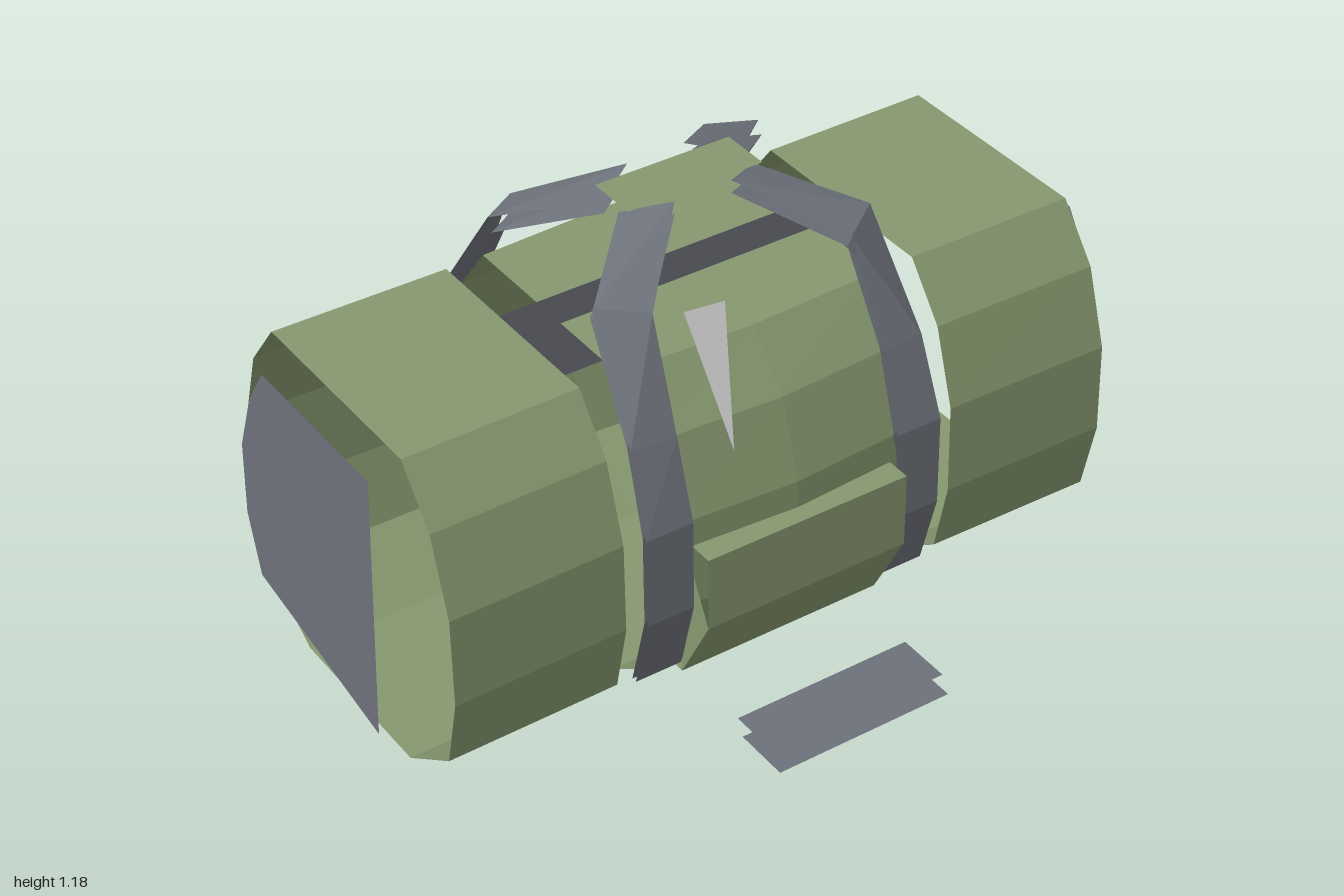
import * as THREE from 'three';

const CZ = -0.14; // centre line of the bag in z
const mat = (name, color) =>
  Object.assign(new THREE.MeshStandardMaterial({ color, side: THREE.DoubleSide, flatShading: true }), { name });

// Faceted sheet through rows of [x, y, z] points
function sheet(rows) {
  const pos = [];
  for (let i = 0; i + 1 < rows.length; i++) {
    for (let j = 0; j + 1 < rows[i].length; j++) {
      const a = rows[i][j], b = rows[i][j + 1], c = rows[i + 1][j + 1], d = rows[i + 1][j];
      pos.push(...a, ...b, ...c, ...a, ...c, ...d);
    }
  }
  const g = new THREE.BufferGeometry();
  g.setAttribute('position', new THREE.Float32BufferAttribute(pos, 3));
  g.computeVertexNormals();
  return g;
}

// Flat convex panel from a ring of points
function panel(pts) {
  const pos = [];
  for (let i = 1; i + 1 < pts.length; i++) pos.push(...pts[0], ...pts[i], ...pts[i + 1]);
  const g = new THREE.BufferGeometry();
  g.setAttribute('position', new THREE.Float32BufferAttribute(pos, 3));
  g.computeVertexNormals();
  return g;
}

const flat = (x0, x1, y, z0, z1) => panel([[x0, y, z0], [x0, y, z1], [x1, y, z1], [x1, y, z0]]);

export function createModel() {
  const group = new THREE.Group();
  const green = mat('olive cloth', 0x86986f);
  const grey = mat('grey webbing', 0x6d717a);
  const pale = mat('pale tag', 0xc9c9c9);
  const add = (name, geometry, material) => {
    const m = new THREE.Mesh(geometry, material);
    m.name = name;
    group.add(m);
  };

  // Half cross-section of the bag: [distance from centre line, height]
  const profile = [[0.245, 0], [0.43, 0.13], [0.475, 0.33], [0.47, 0.575], [0.405, 0.78], [0.295, 0.92]];
  // stations: [x, bulge]; the top stops at `gap` from the centre line
  const shell = (stations, side, gap) => sheet(stations.map(([x, k]) =>
    [...profile.map(([w, y]) => [x, y, CZ + side * w * (y > 0 ? k : 1)]), [x, 0.92, CZ + side * gap]]));

  for (const side of [1, -1]) {
    const half = side > 0 ? 'front' : 'back';
    add(half + 'MiddleShell', shell([[-0.37, 1], [0, 1.052], [0.37, 1]], side, 0.053), green);
    for (const e of [1, -1]) {
      add(half + (e > 0 ? 'Left' : 'Right') + 'EndShell', shell([[e * 0.473, 0.995], [e * 0.942, 1.01]], side, 0), green);
    }
    // Flaps hanging beside the top opening
    const z = CZ + side * 0.055;
    add(half + 'OpeningFlap', panel([[-0.473, 0.77, z], [0.473, 0.77, z], [0.473, 0.919, z], [-0.473, 0.919, z]]), grey);
  }
  add('bottomPanel', flat(-0.942, 0.942, 0, -0.385, 0.105), green);

  // End panels, each cut away on one side
  const end = [[0.11, 0.85], [-0.385, 0.85], [-0.345, 0.075], [0.215, 0.185], [0.263, 0.35], [0.255, 0.56], [0.19, 0.73]];
  for (const e of [1, -1]) {
    add(e > 0 ? 'leftEndPanel' : 'rightEndPanel',
      panel(end.map(([z, y]) => [e, y, CZ + e * (z - CZ)])), grey);
  }

  // Four carrying straps, each of two layers: [outer edge, inner edge] per station
  const strap = [
    [[0.425, 0.12, 0.295], [0.295, 0.12, 0.295]],
    [[0.425, 0.33, 0.352], [0.295, 0.33, 0.352]],
    [[0.425, 0.58, 0.35], [0.295, 0.58, 0.35]],
    [[0.415, 0.79, 0.275], [0.295, 0.79, 0.285]],
    [[0.39, 1.07, 0.09], [0.28, 1.057, 0.167]],
    [[0.19, 1.15, -0.11], [0.08, 1.177, -0.04]],
  ];
  for (const sx of [1, -1]) {
    for (const sz of [1, -1]) {
      for (const layer of [0, 1]) {
        const rows = strap.map((row, i) => row.map(([x, y, z]) => {
          const dy = i > 3 ? 0.035 * layer : 0, dz = i < 5 ? 0.015 * layer : 0;
          return [sx * x, y - dy, CZ + sz * (z - dz - CZ)];
        }));
        add((sz > 0 ? 'front' : 'back') + (sx > 0 ? 'Left' : 'Right') + 'Strap' + (layer ? 'Lining' : ''), sheet(rows), grey);
      }
    }
  }

  // Grip pad joining the straps
  add('gripPad', flat(-0.19, 0.19, 1.172, -0.21, -0.07), green);

  // Front pouch: top, face and sloping underside
  const pouch = [[0.3, 0.5], [0.405, 0.5], [0.405, 0.295], [0.292, 0.088], [0.19, 0.088]];
  add('frontPouch', sheet(pouch.map(([z, y]) => [[-0.29, y, z], [0.285, y, z]])), green);
  add('pouchLeftSide', panel([1, 2, 3, 4].map((i) => [0.285, pouch[i][1], pouch[i][0]])), green);
  add('pouchRightSide', panel([0, 2, 3].map((i) => [-0.29, pouch[i][1], pouch[i][0]])), green);

  // Loose buckle plates in front of the bag
  add('upperBucklePlate', flat(-0.25, 0.25, 0.045, 0.47, 0.62), grey);
  add('lowerBucklePlate', flat(-0.25, 0.25, 0.001, 0.49, 0.645), grey);

  // Pointed tag
  add('tag', panel([[-0.177, 1.005, 0.14], [-0.17, 0.725, 0.335], [-0.062, 0.993, 0.14]]), pale);

  return group;
}
